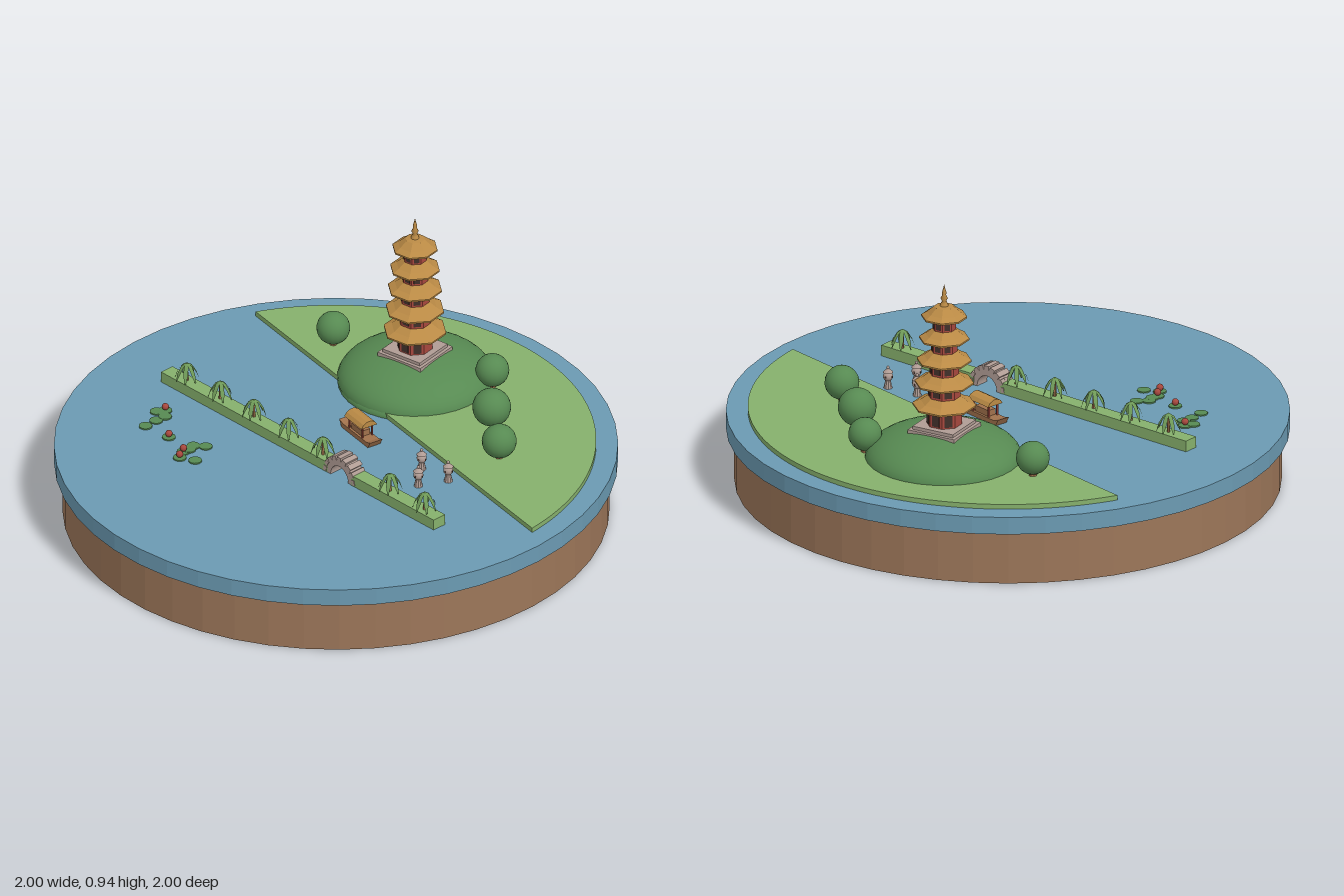
import * as THREE from 'three';

const mat = (name, color) => {
  const m = new THREE.MeshStandardMaterial({ color });
  m.name = name;
  return m;
};

export function createModel() {
  const root = new THREE.Group();
  root.name = 'lakeDiorama';
  const M = {
    earth: mat('earth', 0x9c7659),
    water: mat('water', 0x6b9ab2),
    grass: mat('grass', 0x86b06c),
    foliage: mat('foliage', 0x578a52),
    willow: mat('willow', 0x6f9a58),
    red: mat('red', 0xa8483e),
    gold: mat('gold', 0xba8a45),
    stone: mat('stone', 0xb09c94),
    wood: mat('wood', 0xa0714c),
    dark: mat('dark', 0x41302a),
  };
  M.willow.side = THREE.DoubleSide;

  const add = (parent, name, geo, material, x = 0, y = 0, z = 0) => {
    const m = new THREE.Mesh(geo, material);
    m.name = name;
    m.position.set(x, y, z);
    parent.add(m);
    return m;
  };
  const group = (parent, name, x = 0, y = 0, z = 0, ry = 0) => {
    const g = new THREE.Group();
    g.name = name;
    g.position.set(x, y, z);
    g.rotation.y = ry;
    parent.add(g);
    return g;
  };
  // Faceted copy of a geometry
  const flat = (geo) => {
    const g = geo.index ? geo.toNonIndexed() : geo;
    g.computeVertexNormals();
    return g;
  };
  const box = (w, h, d) => new THREE.BoxGeometry(w, h, d);
  const cyl = (rt, rb, h, n) => flat(new THREE.CylinderGeometry(rt, rb, h, n));
  // Octagonal solid with flat sides facing the axes
  const octagon = (pts) => flat(new THREE.LatheGeometry(
    pts.map(([r, y]) => new THREE.Vector2(r, y)), 8, Math.PI / 8));
  const dome = (r, h) => new THREE.SphereGeometry(r, 32, 12, 0, Math.PI * 2, 0, Math.PI / 2).scale(1, h / r, 1);

  // Ground and lake
  add(root, 'earthBase', cyl(0.97, 0.97, 0.2, 48), M.earth, 0, 0.1, 0);
  add(root, 'lake', cyl(1, 1, 0.065, 48), M.water, 0, 0.2325, 0);

  // Far shore: a circle segment cut by a slanted chord
  const shore = new THREE.Shape();
  shore.absarc(0, 0, 0.922, -0.076, 2.526, false);
  shore.closePath();
  const shoreGeo = new THREE.ExtrudeGeometry(shore, { depth: 0.02, bevelEnabled: false, curveSegments: 32 });
  shoreGeo.rotateX(-Math.PI / 2);
  add(root, 'shore', shoreGeo, M.grass, 0, 0.263, 0);

  // Hill and its lower skirt
  add(root, 'hill', dome(0.28, 0.12), M.foliage, -0.035, 0.275, -0.52);
  add(root, 'hillSkirt', dome(0.275, 0.085), M.foliage, -0.03, 0.265, -0.51);

  // Round trees
  [[-0.4, -0.52, 0.06], [0.225, -0.625, 0.06], [0.375, -0.42, 0.069], [0.535, -0.25, 0.062]].forEach(([x, z, r]) => {
    add(root, 'roundTree', new THREE.SphereGeometry(r, 20, 14), M.foliage, x, 0.35, z);
    add(root, 'treeTrunk', cyl(0.012, 0.015, 0.06, 8), M.wood, x, 0.305, z);
  });

  // Pagoda
  const pagoda = group(root, 'pagoda', -0.035, 0, -0.515);
  add(pagoda, 'plinth', box(0.19, 0.03, 0.19), M.stone, 0, 0.38, 0);
  add(pagoda, 'plinthStep', box(0.165, 0.014, 0.165), M.stone, 0, 0.4, 0);
  const eaves = [0.478, 0.564, 0.65, 0.733, 0.817];
  eaves.forEach((y, i) => {
    const body = 0.064 - i * 0.0055;
    const floor = i ? eaves[i - 1] + 0.02 : 0.4;
    const roofR = 0.114 - i * 0.008;
    add(pagoda, 'storey', octagon([[0, floor], [body, floor], [body, y + 0.01], [0, y + 0.01]]), M.red);
    add(pagoda, 'roof', octagon([[0, y + 0.002], [roofR, y - 0.004], [roofR, y + 0.002],
      [roofR * 0.75, y + 0.015], [body * 0.85, y + 0.037], [0, y + 0.042]]), M.gold);
    // Windows on all sides except the two facing sideways
    const apothem = body * Math.cos(Math.PI / 8);
    const low = i ? floor + 0.022 : floor + 0.012;
    const h = y - low - 0.008;
    for (let k = 0; k < 8; k++) {
      if (k % 4 === 2) continue;
      const side = group(pagoda, 'window', 0, 0, 0, k * Math.PI / 4);
      add(side, 'windowPane', box(body * 0.46, h, 0.004), M.dark, 0, low + h / 2, apothem);
    }
  });
  add(pagoda, 'spire', new THREE.LatheGeometry([[0.017, 0], [0.012, 0.016], [0.007, 0.022], [0.013, 0.034],
    [0.007, 0.046], [0.008, 0.056], [0.003, 0.074], [0, 0.086]].map((p) => new THREE.Vector2(...p)), 12), M.gold, 0, 0.851, 0);

  // Causeway, split in two by the bridge
  const causeway = group(root, 'causeway', -0.056, 0.265, 0.12, -0.169);
  [[-0.7, 0.155], [0.275, 0.7]].forEach(([a, b]) =>
    add(causeway, 'causewayBank', box(b - a, 0.042, 0.056), M.grass, (a + b) / 2, 0.02, 0));

  // Arched stone bridge with raised steps
  const bridge = group(causeway, 'bridge', 0.215, 0, 0);
  const arch = new THREE.Shape();
  arch.absarc(0, 0, 0.073, 0, Math.PI, false);
  arch.absarc(0, 0, 0.045, Math.PI, 0, true);
  const archGeo = new THREE.ExtrudeGeometry(arch, { depth: 0.054, bevelEnabled: false, curveSegments: 18 });
  archGeo.translate(0, 0, -0.027);
  add(bridge, 'bridgeArch', archGeo, M.stone).scale.y = 1.1;
  for (let i = 0; i < 9; i++) {
    const a = (i + 0.5) * Math.PI / 9;
    const step = add(bridge, 'bridgeStep', box(0.02, 0.015, 0.06), M.stone,
      Math.cos(a) * 0.073, Math.sin(a) * 0.081, 0);
    step.rotation.z = a - Math.PI / 2;
  }

  // Drooping willows: a ring of bent leaf strips around a trunk
  const leafGeo = new THREE.BufferGeometry();
  const rows = [[0, 0.072, 0.003], [0.018, 0.06, 0.008], [0.034, 0.034, 0.008], [0.044, 0.006, 0.002]];
  const pos = [];
  const idx = [];
  rows.forEach(([x, y, w], i) => {
    pos.push(x, y, -w, x, y, w);
    if (i) idx.push(i * 2 - 2, i * 2 - 1, i * 2, i * 2 - 1, i * 2 + 1, i * 2);
  });
  leafGeo.setAttribute('position', new THREE.Float32BufferAttribute(pos, 3));
  leafGeo.setIndex(idx);
  leafGeo.computeVertexNormals();
  [-0.597, -0.425, -0.253, -0.075, 0.102, 0.447, 0.625].forEach((s, i) => {
    const tree = group(causeway, 'willow', s, 0.041, 0, i * 0.35);
    add(tree, 'willowTrunk', cyl(0.004, 0.006, 0.07, 6), M.wood, 0, 0.035, 0);
    for (let k = 0; k < 7; k++) add(tree, 'willowLeaf', leafGeo, M.willow).rotation.y = k * Math.PI * 2 / 7;
  });

  // Covered boat
  const boat = group(root, 'boat', 0.035, 0.265, -0.1, -0.35);
  const hull = new THREE.Shape([[-0.1, 0.026], [-0.085, 0], [0.085, 0], [0.1, 0.026], [0.075, 0.018], [-0.075, 0.018]]
    .map((p) => new THREE.Vector2(...p)));
  const hullGeo = new THREE.ExtrudeGeometry(hull, { depth: 0.052, bevelEnabled: false });
  hullGeo.translate(0, 0, -0.026);
  add(boat, 'hull', hullGeo, M.wood);
  for (const x of [-0.042, 0.042]) for (const z of [-0.02, 0.02])
    add(boat, 'boatPost', box(0.006, 0.05, 0.006), M.red, x, 0.04, z);
  add(boat, 'boatCabin', box(0.07, 0.025, 0.034), M.wood, 0, 0.028, 0);
  const canopy = new THREE.Shape([[-0.034, 0], [0.034, 0], [0.024, 0.014], [0.008, 0.022], [-0.008, 0.022], [-0.024, 0.014]]
    .map((p) => new THREE.Vector2(...p)));
  const canopyGeo = new THREE.ExtrudeGeometry(canopy, { depth: 0.11, bevelEnabled: false });
  canopyGeo.translate(0, 0, -0.055);
  add(boat, 'boatRoof', canopyGeo, M.gold, 0, 0.063, 0).rotation.y = Math.PI / 2;

  // Stone lanterns standing in the water
  [[0.345, -0.045], [0.47, -0.035], [0.405, 0.055]].forEach(([x, z]) => {
    const lantern = group(root, 'stoneLantern', x, 0.265, z);
    add(lantern, 'lanternFoot', cyl(0.009, 0.016, 0.034, 10), M.stone, 0, 0.017, 0);
    add(lantern, 'lanternBody', new THREE.SphereGeometry(0.018, 14, 10), M.stone, 0, 0.045, 0);
    add(lantern, 'lanternCap', cyl(0.004, 0.019, 0.014, 10), M.stone, 0, 0.067, 0);
    add(lantern, 'lanternFinial', new THREE.SphereGeometry(0.006, 8, 6), M.stone, 0, 0.078, 0);
    for (let k = 0; k < 4; k++) {
      const a = k * Math.PI / 2;
      add(lantern, 'lanternOpening', new THREE.SphereGeometry(0.005, 8, 6), M.dark,
        Math.sin(a) * 0.0145, 0.045, Math.cos(a) * 0.0145);
    }
  });

  // Lotus pads, some with flowers
  [[-0.62, 0.18, 1], [-0.64, 0.205], [-0.595, 0.215], [-0.605, 0.255], [-0.612, 0.308], [-0.5, 0.32, 1],
    [-0.358, 0.292], [-0.395, 0.315], [-0.392, 0.345], [-0.4, 0.368, 1], [-0.33, 0.392], [-0.385, 0.41, 1],
  ].forEach(([x, z, flower], i) => {
    add(root, 'lotusPad', cyl(0.024, 0.024, 0.005, 14), M.foliage, x, 0.267 + (i % 3) * 0.0006, z);
    if (!flower) return;
    add(root, 'lotusFlower', new THREE.SphereGeometry(0.013, 10, 8), M.red, x, 0.283, z);
  });

  return root;
}
